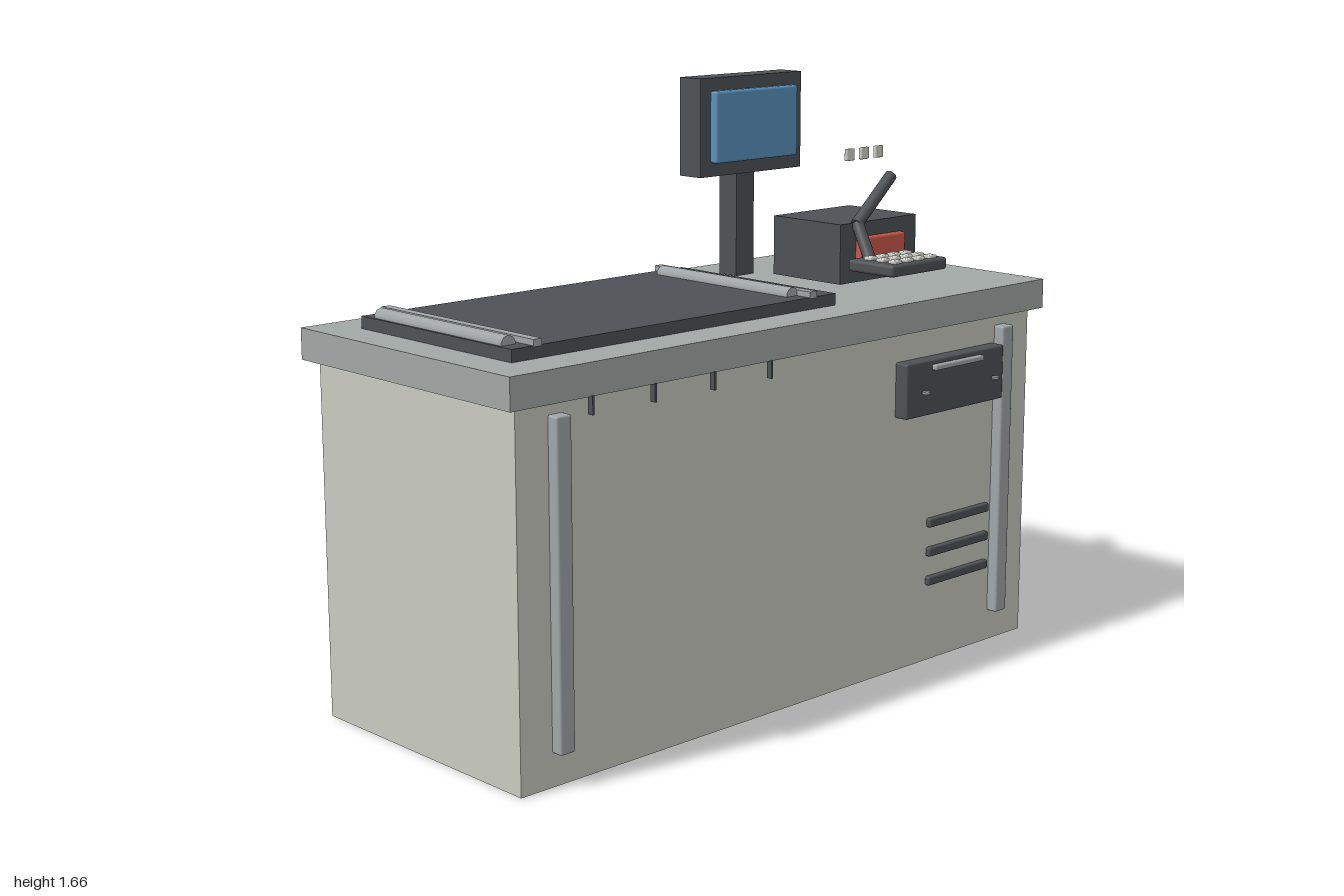
import * as THREE from 'three';
import { RoundedBoxGeometry } from 'three/addons/geometries/RoundedBoxGeometry.js';

const mat = (name, color) => {
  const m = new THREE.MeshStandardMaterial({ color });
  m.name = name;
  return m;
};

export function createModel() {
  const cream = mat('cabinet cream', 0xc9cac1);
  const grey = mat('counter grey', 0xa2a8a6);
  const metal = mat('trim metal', 0xa0a6a8);
  const dark = mat('charcoal', 0x4e5256);
  const blue = mat('screen blue', 0x5b92bd);
  const red = mat('panel red', 0xc9594a);
  const ivory = mat('key ivory', 0xd2d1c8);

  const root = new THREE.Group();
  root.name = 'checkoutCounter';

  const add = (name, geo, material) => {
    const m = new THREE.Mesh(geo, material);
    m.name = name;
    root.add(m);
    return m;
  };
  // Box given by its limits on each axis; r rounds the edges
  const box = (name, material, [x0, x1], [y0, y1], [z0, z1], r = 0) => {
    const s = [x1 - x0, y1 - y0, z1 - z0];
    const geo = r ? new RoundedBoxGeometry(...s, 2, r) : new THREE.BoxGeometry(...s);
    const m = add(name, geo, material);
    m.position.set((x0 + x1) / 2, (y0 + y1) / 2, (z0 + z1) / 2);
    return m;
  };
  // Cylinder between two points
  const rod = (name, material, a, b, r, sides = 12) => {
    const p = new THREE.Vector3(...a), q = new THREE.Vector3(...b);
    const d = q.clone().sub(p);
    const m = add(name, new THREE.CylinderGeometry(r, r, d.length(), sides), material);
    m.position.copy(p).add(q).multiplyScalar(0.5);
    m.quaternion.setFromUnitVectors(new THREE.Vector3(0, 1, 0), d.normalize());
    return m;
  };

  // Cabinet and worktop
  box('cabinet', cream, [-0.965, 0.965], [0, 0.98], [-0.42, 0.38]);
  box('worktop', grey, [-1, 1], [0.98, 1.065], [-0.45, 0.407]);

  // Conveyor belt with a rail and a roller at each end
  box('conveyorBelt', dark, [-0.893, 0.245], [1.065, 1.098], [-0.33, 0.283]);
  for (const x of [-0.813, 0.155]) box('beltRail', metal, [x - 0.013, x + 0.013], [1.095, 1.114], [-0.334, 0.286]);
  for (const x of [-0.864, 0.125]) rod('beltRoller', metal, [x, 1.1, -0.282], [x, 1.1, 0.236], 0.023, 10);

  // Upright trims on the front
  for (const s of [-1, 1]) {
    box('frontTrim', metal, [s * 0.839 - 0.024, s * 0.839 + 0.024], [0.09, 0.948], [0.375, 0.413], 0.006);
  }

  // Bag hooks under the worktop edge
  for (let i = 0; i < 4; i++) {
    const x = -0.745 + i * 0.205;
    box('bagHook', dark, [x - 0.003, x + 0.003], [0.934, 0.982], [0.395, 0.412]);
  }

  // Cash drawer with a pull and two small discs
  box('cashDrawer', dark, [0.39, 0.808], [0.741, 0.898], [0.375, 0.422], 0.006);
  box('drawerPull', metal, [0.495, 0.705], [0.868, 0.884], [0.418, 0.437], 0.005);
  for (const x of [0.45, 0.75]) rod('drawerDisc', metal, [x, 0.81, 0.441], [x, 0.816, 0.441], 0.012);

  // Vent slots
  for (let i = 0; i < 3; i++) {
    const y = 0.24 + i * 0.086;
    box('ventSlot', dark, [0.533, 0.795], [y - 0.013, y + 0.013], [0.375, 0.395], 0.005);
  }

  // Display on its post
  box('displayPost', dark, [0.34, 0.411], [1.076, 1.503], [-0.27, -0.2]);
  box('displayHousing', dark, [0.17, 0.576], [1.379, 1.658], [-0.256, -0.173]);
  box('displayScreen', blue, [0.208, 0.538], [1.418, 1.622], [-0.175, -0.146], 0.008);

  // Small squares hovering in front of the display
  for (let i = 0; i < 3; i++) {
    const x = 0.364 + i * 0.0585;
    box('displayButton', ivory, [x - 0.016, x + 0.016], [1.446, 1.479], [0.214, 0.225], 0.003);
  }

  // Printer box with red panel
  box('printerBox', dark, [0.448, 0.77], [1.076, 1.248], [-0.153, 0.111]);
  box('printerPanel', red, [0.513, 0.705], [1.123, 1.205], [0.105, 0.131], 0.006);

  // Keypad
  box('keypad', dark, [0.387, 0.619], [1.132, 1.167], [0.195, 0.364], 0.01);
  for (let row = 0; row < 3; row++) {
    for (let col = 0; col < 4; col++) {
      const x = 0.427 + col * 0.0485, z = 0.246 + row * 0.0455;
      box('keypadKey', ivory, [x - 0.015, x + 0.015], [1.16, 1.176], [z - 0.014, z + 0.014], 0.004);
    }
  }

  // Scanner handle and head
  rod('scannerHandle', dark, [0.503, 1.15, 0.175], [0.516, 1.247, 0.113], 0.018);
  rod('scannerHead', dark, [0.51, 1.243, 0.115], [0.685, 1.366, 0.087], 0.018);

  return root;
}
